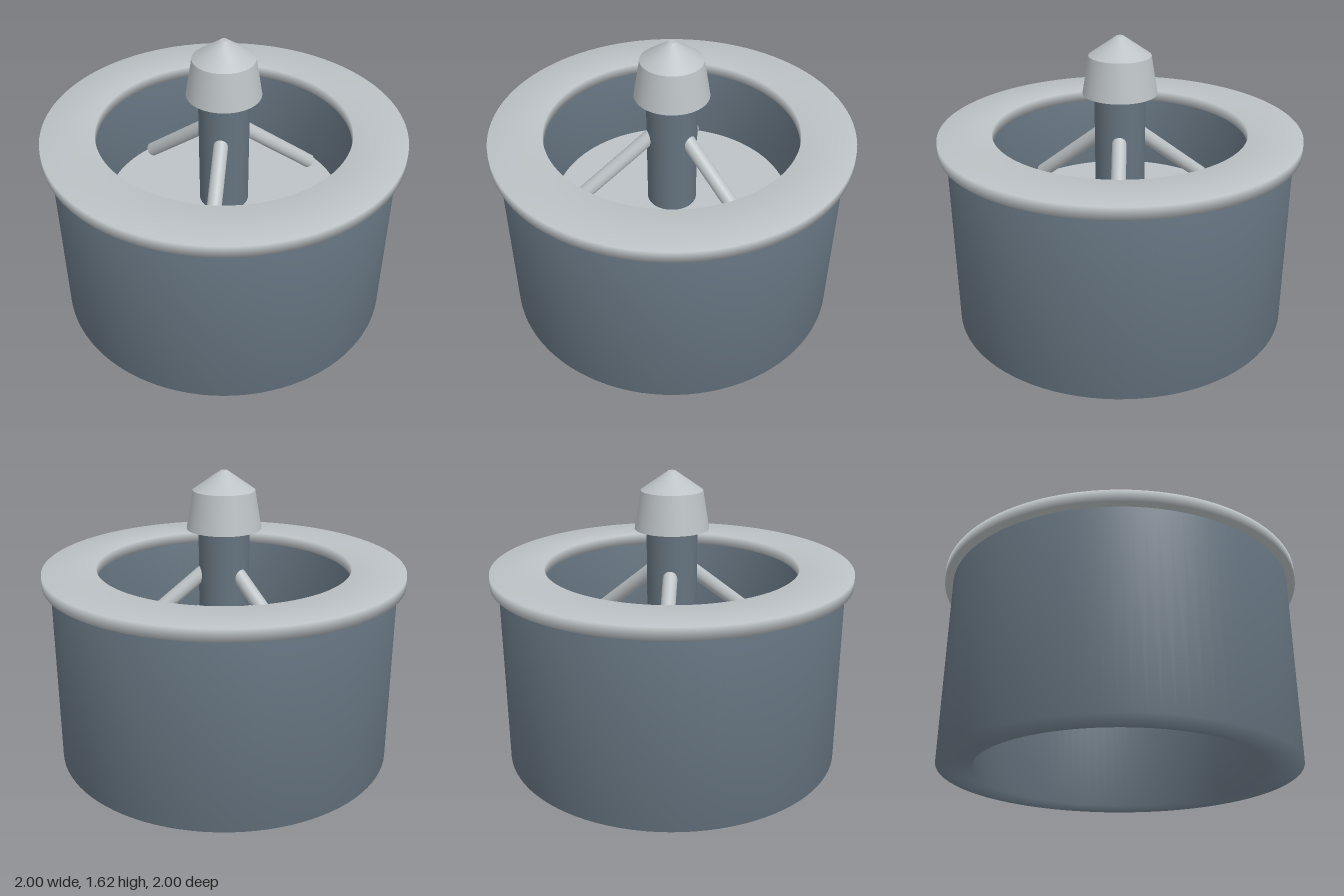
import * as THREE from 'three';
import { mergeVertices } from 'three/addons/utils/BufferGeometryUtils.js';

const mat = (name, color, side = THREE.FrontSide) =>
  Object.assign(new THREE.MeshStandardMaterial({ color, side }), { name });

// Ring of rectangular section, with normals blended softly over its edges
function softRing(inner, outer, bottom, top) {
  const profile = [[inner, bottom], [outer, bottom], [outer, top], [inner, top], [inner, bottom]]
    .map(([r, y]) => new THREE.Vector2(r, y));
  let geometry = new THREE.LatheGeometry(profile, 96);
  geometry.deleteAttribute('normal');
  geometry.deleteAttribute('uv');
  geometry = mergeVertices(geometry, 1e-4);
  geometry.computeVertexNormals();
  return geometry;
}

export function createModel() {
  const model = new THREE.Group();
  model.name = 'ventCap';
  const pale = mat('paleGrey', 0xbcc2c5);
  const slate = mat('slateGrey', 0x64727e);

  const add = (name, geometry, material, y = 0) => {
    const mesh = new THREE.Mesh(geometry, material);
    mesh.name = name;
    mesh.position.y = y;
    model.add(mesh);
    return mesh;
  };
  const frustum = (name, rTop, rBottom, y0, y1, material, open = false) =>
    add(name, new THREE.CylinderGeometry(rTop, rBottom, y1 - y0, 96, 1, open), material, (y0 + y1) / 2);

  // Thick open housing and the flange on top of it
  add('housing', softRing(0.77, 0.955, 0, 1.04), slate);
  add('flange', softRing(0.705, 1, 1.03, 1.095), pale);

  // Inner plate with a narrow gap around it, and the central stem
  frustum('innerPlate', 0.68, 0.68, 0.56, 0.61, pale);
  frustum('stem', 0.14, 0.14, 0.6, 1.32, slate);

  // Pointed cap: flared skirt and conical tip
  frustum('capSkirt', 0.17, 0.205, 1.3, 1.51, pale);
  frustum('capTip', 0.02, 0.17, 1.51, 1.615, pale);

  // Three sloping struts around the stem
  const up = new THREE.Vector3(0, 1, 0);
  for (let i = 0; i < 3; i++) {
    const angle = (i * Math.PI * 2) / 3;
    const at = (r, y) => new THREE.Vector3(r * Math.sin(angle), y, r * Math.cos(angle));
    const start = at(0.1, 1.07), end = at(0.55, 0.71);
    const axis = end.clone().sub(start);
    const strut = add('strut' + (i + 1), new THREE.CylinderGeometry(0.04, 0.04, axis.length(), 32), pale);
    strut.position.copy(start).add(end).multiplyScalar(0.5);
    strut.quaternion.setFromUnitVectors(up, axis.normalize());
  }
  return model;
}
